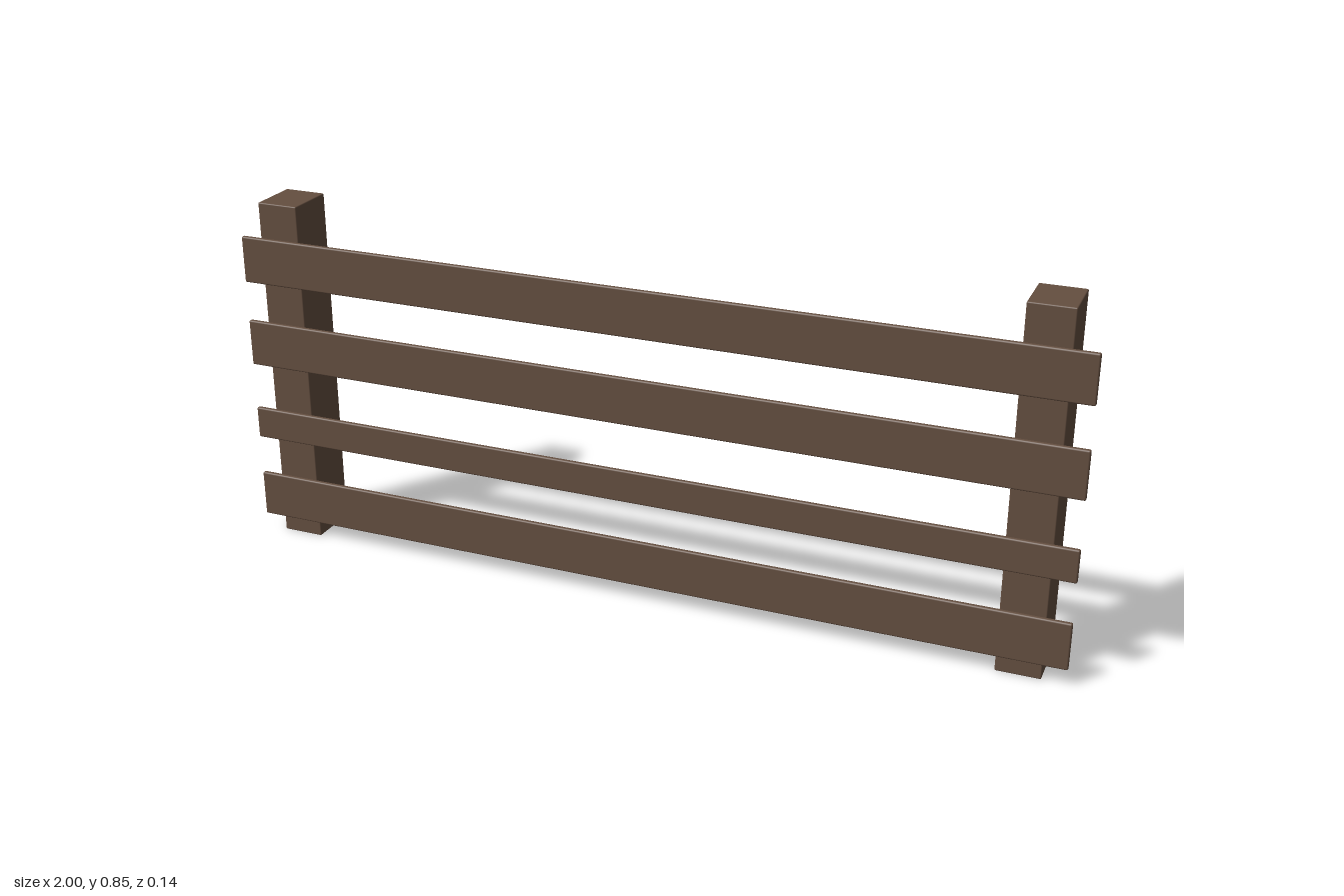
import * as THREE from 'three';
import { RoundedBoxGeometry } from 'three/addons/geometries/RoundedBoxGeometry.js';

const wood = new THREE.MeshStandardMaterial({ color: 0x654f40 });
wood.name = 'dark brown wood';

// Softly edged timber, placed by its centre
function timber(name, size, position, radius) {
  const mesh = new THREE.Mesh(new RoundedBoxGeometry(...size, 2, radius), wood);
  mesh.name = name;
  mesh.position.set(...position);
  return mesh;
}

export function createModel() {
  const fence = new THREE.Group();
  fence.name = 'fence';

  // Two upright posts
  for (const [name, x] of [['rightPost', -0.903], ['leftPost', 0.893]]) {
    fence.add(timber(name, [0.102, 0.85, 0.125], [x, 0.425, -0.0065], 0.003));
  }

  // Four thin rails across the front of the posts: [centre height, board height]
  const rails = [[0.098, 0.113], [0.29, 0.078], [0.499, 0.113], [0.709, 0.113]];
  rails.forEach(([y, height], i) => {
    fence.add(timber(`rail${i + 1}`, [2, height, 0.012], [0, y, 0.063], 0.004));
  });

  return fence;
}
